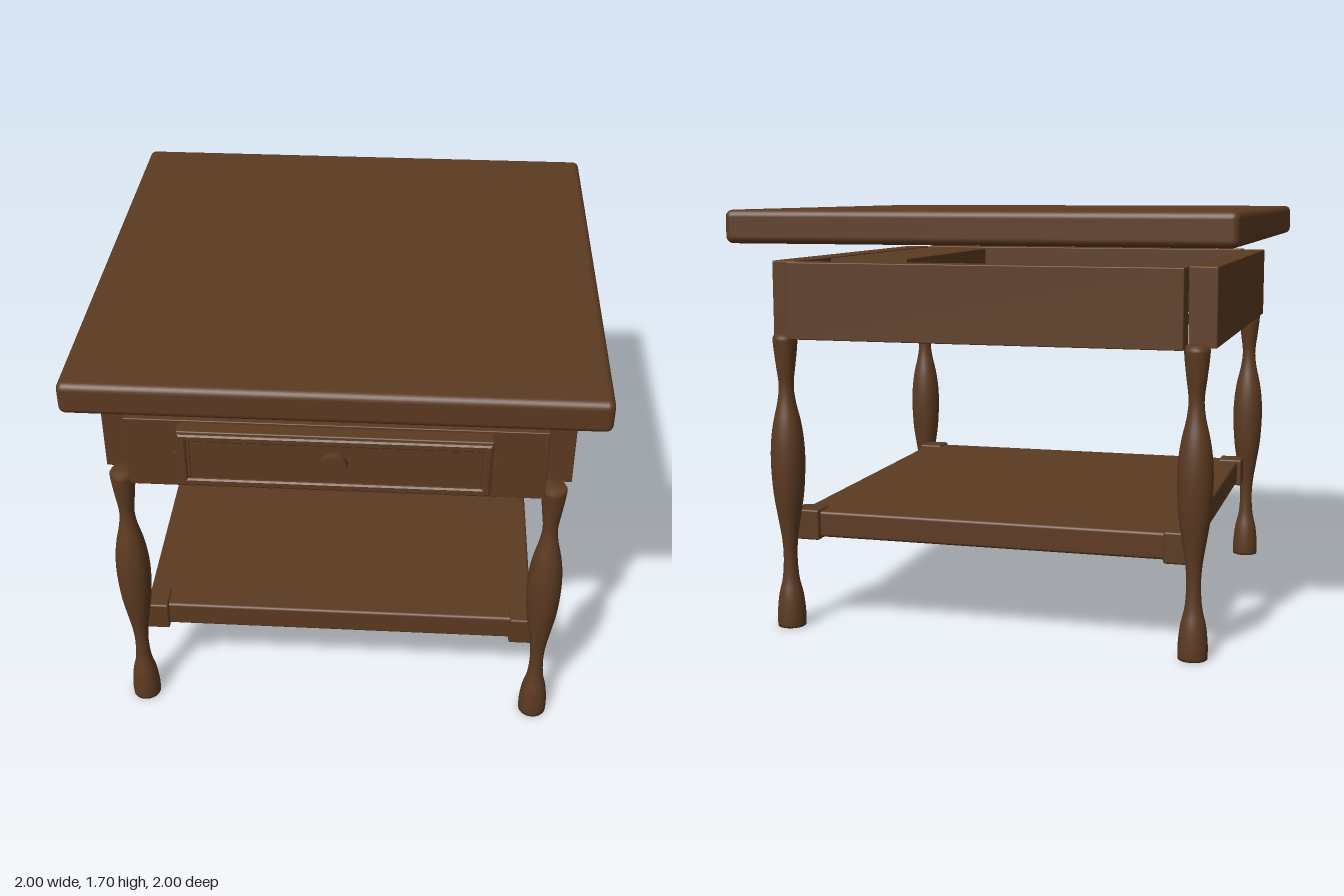
import * as THREE from 'three';
import { RoundedBoxGeometry } from 'three/addons/geometries/RoundedBoxGeometry.js';

const wood = new THREE.MeshStandardMaterial({ color: 0x5c3a21 });
wood.name = 'brown wood';

function add(parent, name, geometry, x = 0, y = 0, z = 0) {
  const mesh = new THREE.Mesh(geometry, wood);
  mesh.name = name;
  mesh.position.set(x, y, z);
  parent.add(mesh);
  return mesh;
}

// Box given by its min and max along each axis, optionally with softened edges
function block(parent, name, [x0, x1], [y0, y1], [z0, z1], radius = 0) {
  const size = [x1 - x0, y1 - y0, z1 - z0];
  const geometry = radius
    ? new RoundedBoxGeometry(...size, 3, radius)
    : new THREE.BoxGeometry(...size);
  return add(parent, name, geometry, (x0 + x1) / 2, (y0 + y1) / 2, (z0 + z1) / 2);
}

// Turned leg with a bulb in the middle and a flared foot
function legGeometry() {
  const profile = [
    [0.057, 0], [0.058, 0.05], [0.05, 0.13], [0.034, 0.2], [0.028, 0.29],
    [0.033, 0.37], [0.047, 0.46], [0.062, 0.56], [0.069, 0.68], [0.066, 0.77],
    [0.055, 0.85], [0.037, 0.93], [0.03, 1.0], [0.039, 1.08], [0.047, 1.15], [0.05, 1.19],
  ].map(([r, y]) => new THREE.Vector2(r, y));
  const curve = new THREE.SplineCurve(profile).getPoints(48);
  return new THREE.LatheGeometry(
    [new THREE.Vector2(0, 0), ...curve, new THREE.Vector2(0.042, 1.205), new THREE.Vector2(0, 1.205)], 28);
}

function rectangle(path, w, h) {
  path.moveTo(-w, -h);
  path.lineTo(w, -h);
  path.lineTo(w, h);
  path.lineTo(-w, h);
  path.closePath();
  return path;
}

// Rectangular moulding with bevelled edges
function moulding(w, h, width, depth, bevel) {
  const shape = rectangle(new THREE.Shape(), w - bevel, h - bevel);
  shape.holes.push(rectangle(new THREE.Path(), w - width + bevel, h - width + bevel));
  return new THREE.ExtrudeGeometry(shape, {
    depth: depth - bevel, bevelEnabled: true, bevelSegments: 1, bevelSize: bevel, bevelThickness: bevel,
  });
}

export function createModel() {
  const table = new THREE.Group();
  table.name = 'sideTable';

  block(table, 'tableTop', [-1, 1], [1.57, 1.7], [-1, 1], 0.028);

  // Four apron boards that leave square notches at the corners
  const apron = new THREE.Group();
  apron.name = 'apron';
  table.add(apron);
  const height = [1.19, 1.495];
  for (const s of [-1, 1]) {
    const span = [Math.min(s * 0.79, s * 0.9), Math.max(s * 0.79, s * 0.9)];
    block(apron, s > 0 ? 'frontApron' : 'backApron', [-0.79, 0.79], height, span, 0.004);
    block(apron, s > 0 ? 'leftApron' : 'rightApron', span, height, [-0.79, 0.79], 0.004);
  }
  // Inner drawer supports
  block(apron, 'innerRail', [-0.79, 0.79], [1.2, 1.49], [0.66, 0.79]);
  block(apron, 'drawerRunner', [0.45, 0.79], [1.3, 1.49], [-0.45, 0.66]);

  // Shelf, turned legs and the corner blocks joining them
  block(table, 'shelf', [-0.8, 0.8], [0.37, 0.477], [-0.8, 0.8], 0.012);
  const leg = legGeometry();
  for (const sx of [-1, 1]) {
    for (const sz of [-1, 1]) {
      add(table, 'leg', leg, sx * 0.832, 0, sz * 0.832);
      add(table, 'shelfCornerBlock', new RoundedBoxGeometry(0.11, 0.125, 0.11, 2, 0.008),
        sx * 0.765, 0.4225, sz * 0.765);
    }
  }

  // Drawer front with a raised border, an inner bead and a round knob
  const drawer = new THREE.Group();
  drawer.name = 'drawer';
  drawer.position.set(0, 1.364, 0);
  table.add(drawer);
  block(drawer, 'drawerFront', [-0.585, 0.585], [-0.121, 0.121], [0.89, 0.957], 0.006);
  add(drawer, 'drawerBorder', moulding(0.578, 0.115, 0.03, 0.014, 0.006), 0, 0, 0.96);
  add(drawer, 'drawerBead', moulding(0.546, 0.099, 0.009, 0.006, 0.002), 0, 0, 0.957);
  add(drawer, 'knob', new THREE.CylinderGeometry(0.051, 0.051, 0.04, 32), 0, 0, 0.97).rotation.x = Math.PI / 2;
  for (const s of [-1, 1]) {
    add(drawer, 'peg', new THREE.CylinderGeometry(0.012, 0.012, 0.03, 16), s * 0.6, -0.02, 0.9)
      .rotation.x = Math.PI / 2;
  }
  return table;
}
